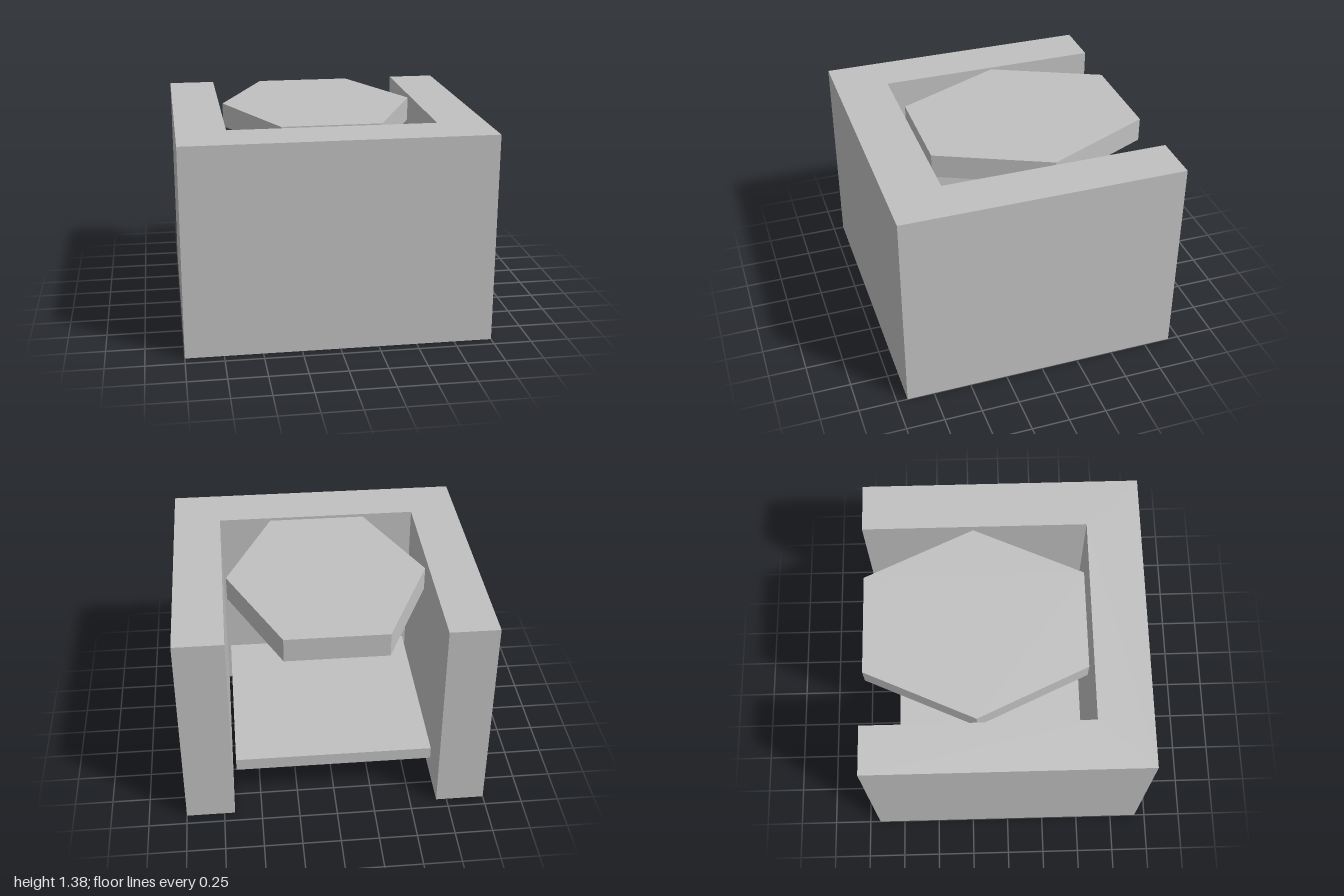
import * as THREE from 'three';

// Extrude an outline of [x, z] points upward from y = bottom to y = top.
function prism(name, outline, bottom, top, material) {
  const shape = new THREE.Shape(outline.map(([x, z]) => new THREE.Vector2(x, -z)));
  const geometry = new THREE.ExtrudeGeometry(shape, { depth: top - bottom, bevelEnabled: false });
  geometry.rotateX(-Math.PI / 2);
  geometry.translate(0, bottom, 0);
  const mesh = new THREE.Mesh(geometry, material);
  mesh.name = name;
  return mesh;
}

// Complete an outline by mirroring its right half across x = 0.
function mirrored(half) {
  return [...half, ...half.map(([x, z]) => [-x, z]).reverse()];
}

export function createModel() {
  const group = new THREE.Group();
  group.name = 'hexagonTopStand';

  const grey = new THREE.MeshStandardMaterial({ color: 0xc0c0c0 });
  grey.name = 'grey';

  const height = 1.385;

  // U-shaped wall, open at the back
  const wall = mirrored([[0.68, 0.57], [0.68, -0.928], [1, -0.928], [1, 0.928]]);
  group.add(prism('surroundingWall', wall, 0, height, grey));

  // Thin square shelf low inside the wall
  const shelf = mirrored([[0.655, 0.545], [0.655, -0.76]]);
  group.add(prism('shelf', shelf, 0.23, 0.315, grey));

  // Six-sided slab level with the top of the wall
  const slab = mirrored([[0.328, 0.535], [0.655, -0.188], [0.328, -0.91]]);
  group.add(prism('hexagonSlab', slab, height - 0.16, height, grey));

  return group;
}
